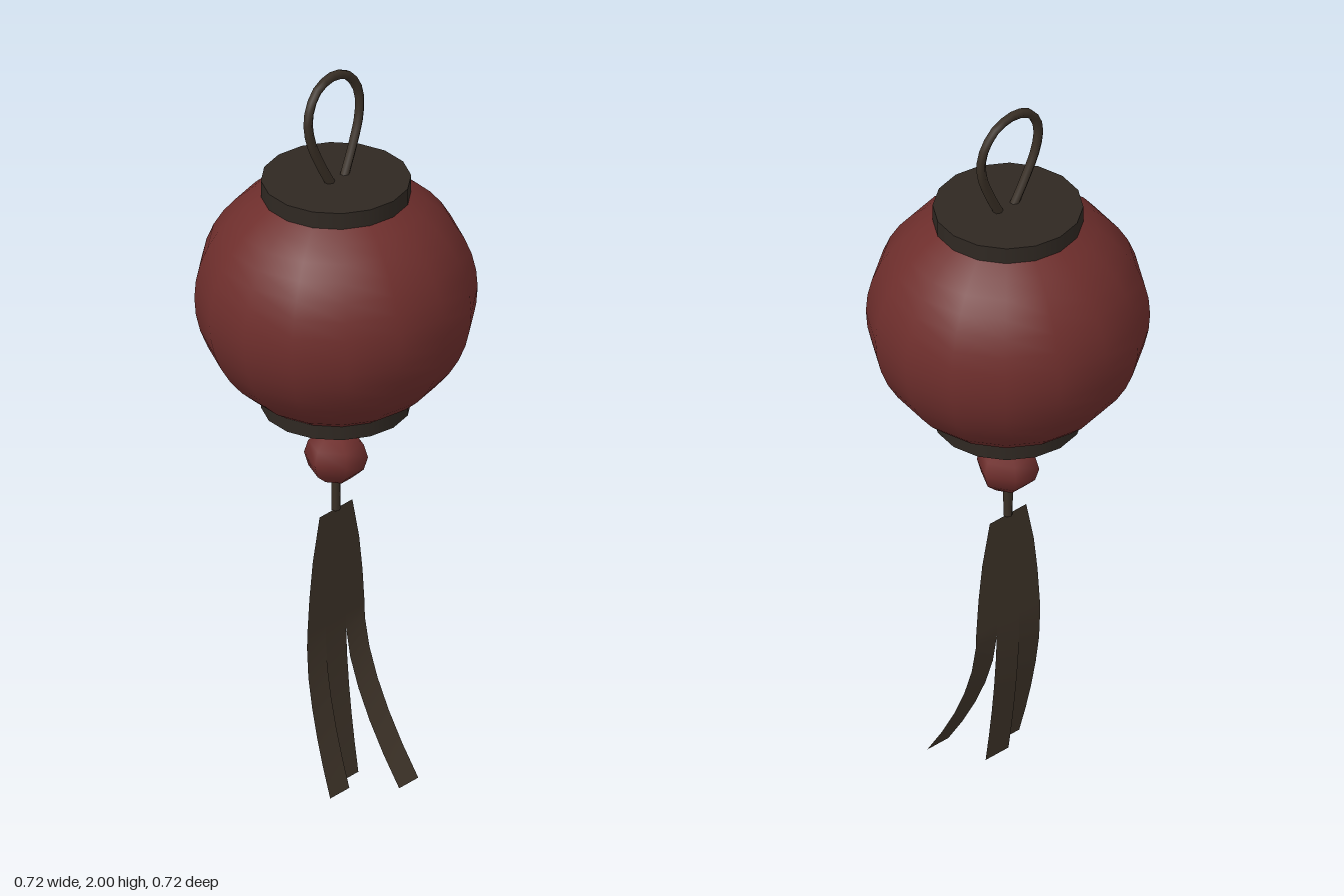
import * as THREE from 'three';

const material = (color, side = THREE.FrontSide) => new THREE.MeshStandardMaterial({ color, side });

export function createModel() {
  const group = new THREE.Group();
  const red = material(0x6e2e2c);
  const dark = material(0x2f2822);
  const cordMat = material(0x3a3026);
  const cloth = material(0x40352a, THREE.DoubleSide);

  const add = (name, geometry, mat, y = 0) => {
    const mesh = new THREE.Mesh(geometry, mat);
    mesh.name = name;
    mesh.position.y = y;
    group.add(mesh);
    return mesh;
  };

  // Lantern body: sixteen-sided squashed globe, open where the caps sit
  const profile = [];
  const steps = 14, limit = Math.acos(0.186 / 0.358);
  for (let i = 0; i <= steps; i++) {
    const a = -limit + (2 * limit * i) / steps;
    profile.push(new THREE.Vector2(0.358 * Math.cos(a), 0.334 * Math.sin(a)));
  }
  add('lanternBody', new THREE.LatheGeometry(profile, 16), red, 1.376);

  // Caps
  add('topCap', new THREE.CylinderGeometry(0.19, 0.19, 0.052, 16), dark, 1.678);
  add('bottomCap', new THREE.CylinderGeometry(0.19, 0.19, 0.04, 16), dark, 1.075);

  // Hanging loop, leaning slightly back
  const loop = [
    [-0.018, 1.69], [-0.058, 1.765], [-0.091, 1.845], [-0.094, 1.91], [-0.06, 1.967], [0, 1.987],
    [0.062, 1.968], [0.1, 1.91], [0.098, 1.845], [0.07, 1.775], [0.026, 1.69],
  ].map(([x, y]) => new THREE.Vector3(x, y, 0.002 - 0.06 * (y - 1.69)));
  add('hangingLoop', new THREE.TubeGeometry(new THREE.CatmullRomCurve3(loop), 24, 0.0125, 6), cordMat);

  // Cord and bead under the lantern
  add('upperCord', new THREE.CylinderGeometry(0.017, 0.016, 0.13, 6), cordMat, 1.0);
  add('lowerCord', new THREE.CylinderGeometry(0.013, 0.012, 0.13, 6), cordMat, 0.82);
  add('bead', new THREE.SphereGeometry(0.082, 6, 6).scale(1, 0.87, 1), red, 0.911);

  // Tassel: three thin strips sharing one outline, each curling forward by its own amount
  const outline = [[0.757, 0.0635], [0.64, 0.09], [0.54, 0.103], [0.44, 0.111], [0.4, 0.112],
    [0.32, 0.114], [0.24, 0.114], [0.16, 0.114], [0.08, 0.114], [0, 0.114]];
  const strip = (name, from, to, curl) => {
    const geometry = new THREE.PlaneGeometry(1, 1, 1, outline.length - 1);
    const pos = geometry.attributes.position;
    outline.forEach(([y, half], row) => {
      const z = curl * Math.pow(Math.max(0, 1 - y / 0.4), 1.6);
      pos.setXYZ(row * 2, from * half, y, z);
      pos.setXYZ(row * 2 + 1, to * half, y, z);
    });
    geometry.computeVertexNormals();
    add(name, geometry, cloth);
  };
  strip('tasselRightStrip', -1, -0.35, 0.078);
  strip('tasselMiddleStrip', -0.35, 0.35, 0.04);
  strip('tasselLeftStrip', 0.35, 1, 0.175);

  return group;
}
